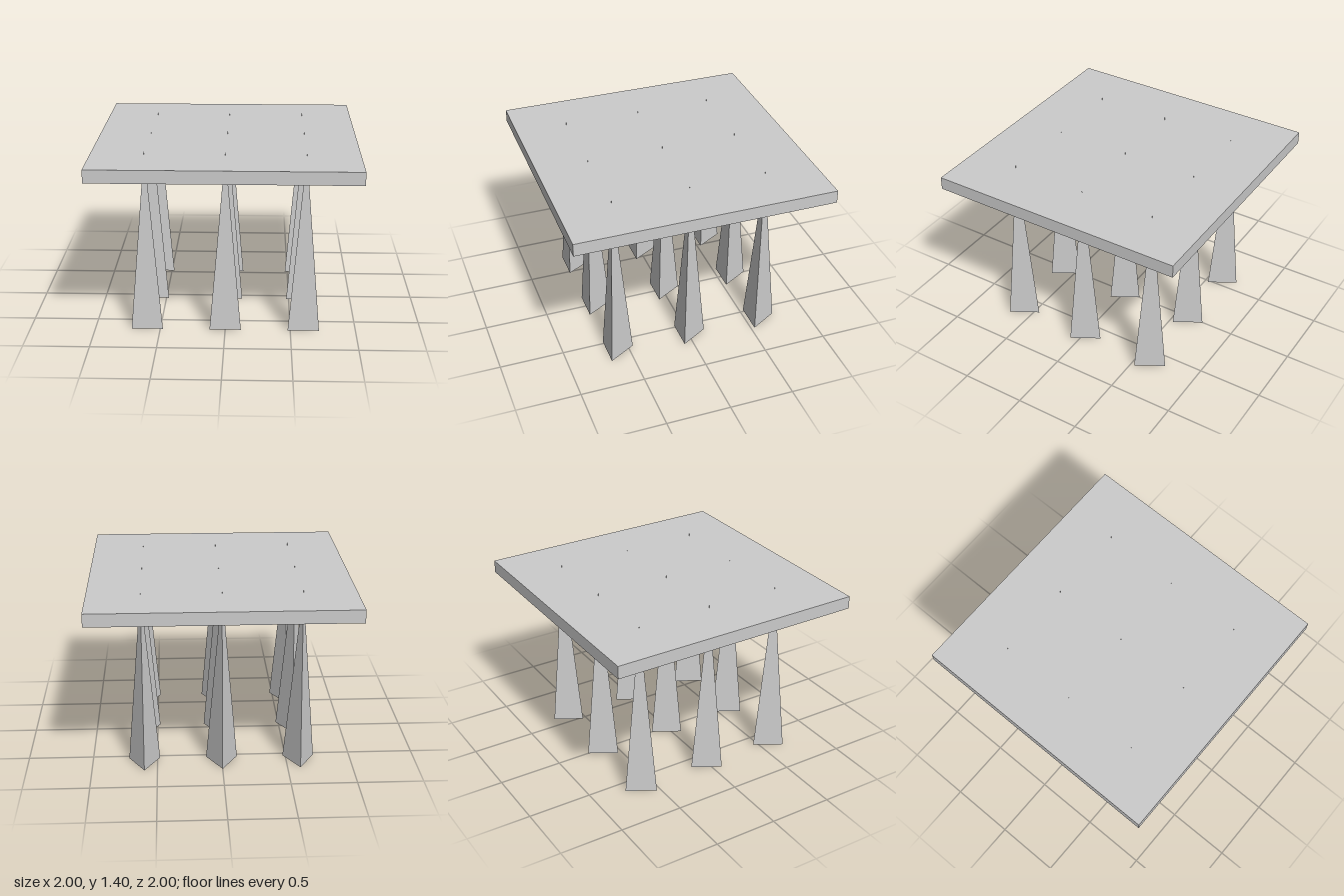
import * as THREE from 'three';

export function createModel() {
  const group = new THREE.Group();
  const material = new THREE.MeshStandardMaterial({ color: 0xcccccc, flatShading: true });

  // Square slab
  const slab = new THREE.Mesh(new THREE.BoxGeometry(2, 0.1, 2), material);
  slab.name = 'tableTop';
  slab.position.y = 1.324;
  group.add(slab);

  // Three-sided spikes with one flat face to the front; tips just pierce the slab
  const height = 1.4;
  const spike = new THREE.ConeGeometry(0.139, height, 3, 1, false, Math.PI);
  const legs = new THREE.Group();
  legs.name = 'legs';
  for (const x of [-0.6, 0, 0.6]) {
    for (const z of [-0.6, 0, 0.6]) {
      const leg = new THREE.Mesh(spike, material);
      leg.name = 'leg';
      leg.position.set(x, height / 2, z);
      legs.add(leg);
    }
  }
  group.add(legs);

  return group;
}
